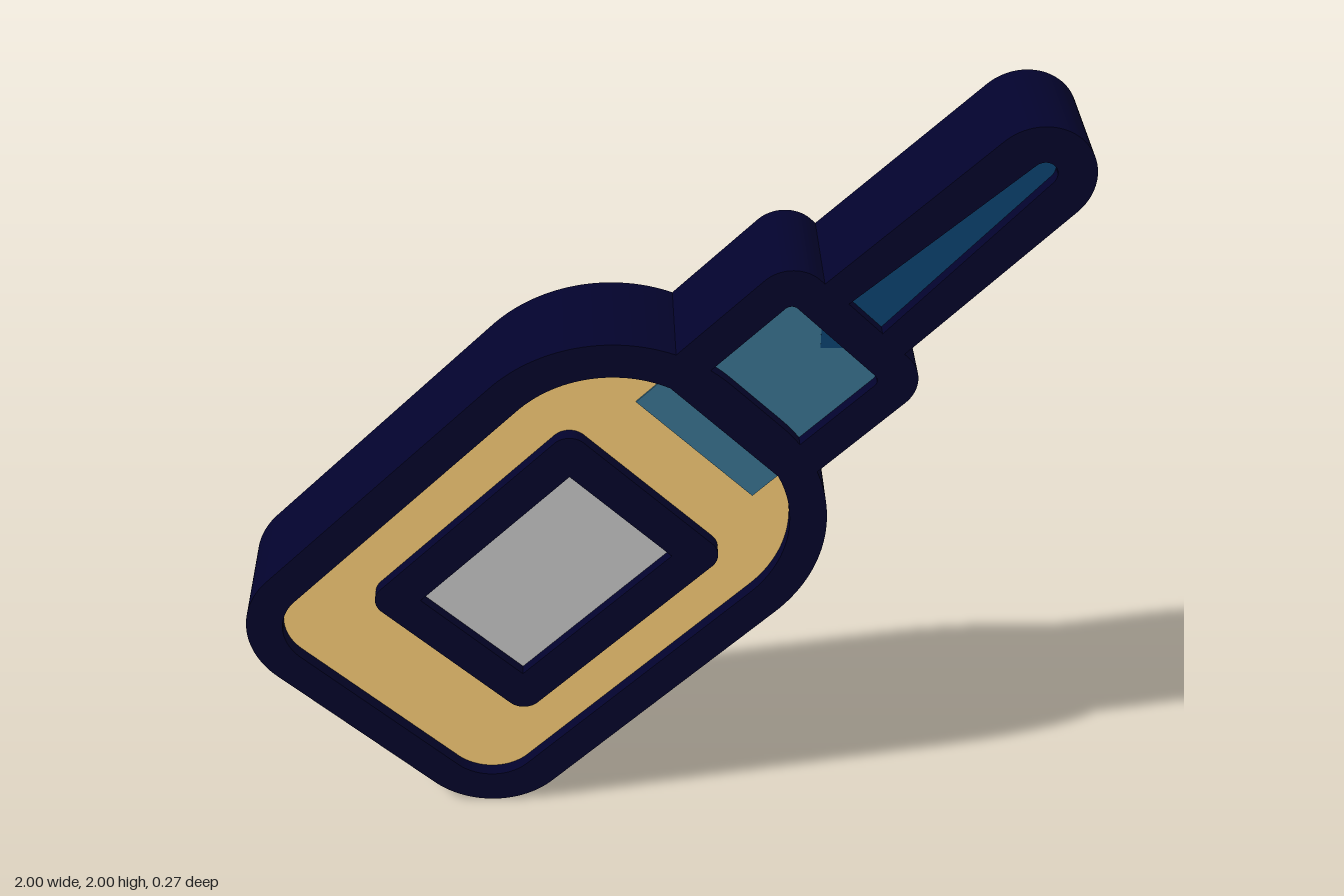
import * as THREE from 'three';
import { toCreasedNormals } from 'three/addons/utils/BufferGeometryUtils.js';

const HALF = 0.136; // half thickness of the dark frames
const material = (color) => new THREE.MeshStandardMaterial({ color });
const navy = material(0x03032c);
const amber = material(0xffd27a);
const teal = material(0x3b7796);
const deepBlue = material(0x0c4574);
const grey = material(0xcccccc);

// Symmetric outline with its own rounding for the bottom and top corners
function roundedRect(hw, y0, y1, r0 = 0, r1 = 0) {
  const s = new THREE.Shape();
  const q = Math.PI / 2;
  const corner = (x, y, r, a) => (r ? s.absarc(x, y, r, a, a + q, false) : s.lineTo(x, y));
  s.moveTo(-hw + r0, y0);
  corner(hw - r0, y0 + r0, r0, -q);
  corner(hw - r1, y1 - r1, r1, 0);
  corner(-hw + r1, y1 - r1, r1, q);
  corner(-hw + r0, y0 + r0, r0, 2 * q);
  s.closePath();
  return s;
}

// Tapered outline ending in a round tip
function taper(hw, y0, r, tipY) {
  const s = new THREE.Shape();
  s.moveTo(-hw, y0);
  s.lineTo(hw, y0);
  s.absarc(0, tipY - r, r, 0, Math.PI, false);
  s.closePath();
  return s;
}

export function createModel() {
  const model = new THREE.Group();
  model.name = 'bottle';
  const tilted = new THREE.Group();
  tilted.name = 'tiltedBottle';
  tilted.position.y = 1;
  tilted.rotation.z = -Math.PI / 4;
  model.add(tilted);

  // Slab centred on z = 0, reaching from -half to half
  const slab = (name, shape, half, mat) => {
    const geo = new THREE.ExtrudeGeometry(shape, { depth: 2 * half, bevelEnabled: false, curveSegments: 20 });
    const mesh = new THREE.Mesh(toCreasedNormals(geo, 0.6), mat);
    mesh.name = name;
    mesh.position.z = -half;
    tilted.add(mesh);
  };

  // Dark frame around an opening, with a recessed filling on both sides
  const framed = (frameName, outer, fillName, opening, half, mat) => {
    outer.holes.push(opening);
    slab(frameName, outer, HALF, navy);
    slab(fillName, opening, half, mat);
  };

  framed('bodyFrame', roundedRect(0.489, -1.055, 0.376, 0.22, 0.402),
    'liquid', roundedRect(0.398, -0.965, 0.286, 0.13, 0.312), 0.102, amber);
  framed('labelFrame', roundedRect(0.27, -0.71, 0.016, 0.05, 0.05),
    'label', roundedRect(0.175, -0.615, -0.08), 0.107, grey);
  framed('capFrame', roundedRect(0.242, 0.27, 0.716, 0, 0.09),
    'cap', roundedRect(0.153, 0.355, 0.628, 0, 0.02), 0.106, teal);
  framed('nozzleFrame', taper(0.138, 0.68, 0.127, 1.36),
    'nozzle', taper(0.058, 0.718, 0.03, 1.275), 0.106, deepBlue);

  // Band below the cap, lying on the liquid
  slab('neckBand', roundedRect(0.2, 0.172, 0.285), 0.106, teal);

  // Small pointed root of the nozzle showing over the cap
  const root = new THREE.Shape([
    new THREE.Vector2(0, 0.58),
    new THREE.Vector2(0.046, 0.626),
    new THREE.Vector2(-0.046, 0.626),
  ]);
  slab('nozzleRoot', root, 0.107, deepBlue);

  return model;
}
